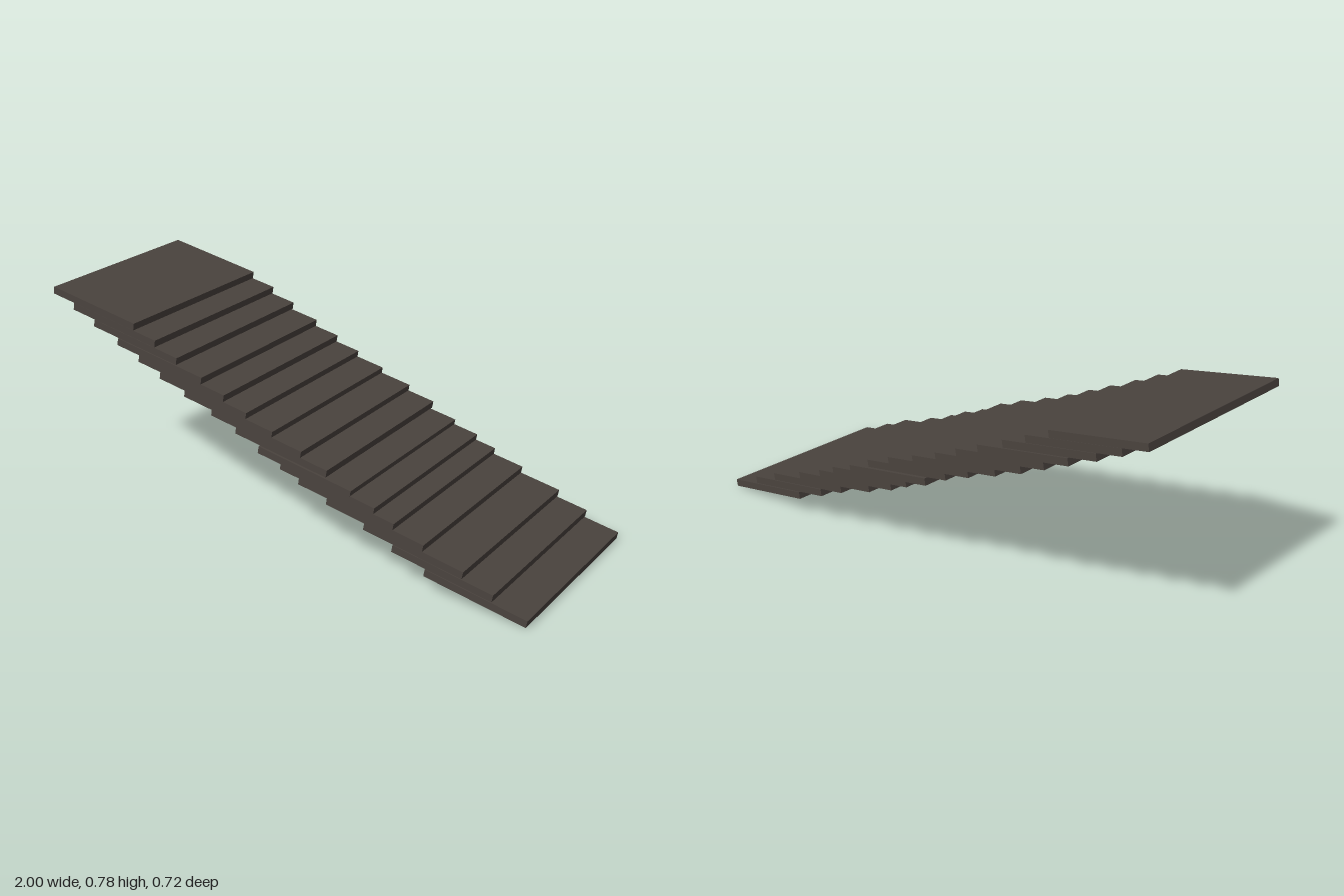
import * as THREE from 'three';

const LENGTH = 0.39, THICK = 0.027, WIDTH = 0.72, TILT = -Math.PI / 18;

// Upper leading edge [x, y] of every slab, from the top of the stack down
const EDGES = [
  [-0.613, 0.713], [-0.517, 0.668], [-0.42, 0.622], [-0.31, 0.572],
  [-0.212, 0.528], [-0.115, 0.484], [-0.004, 0.44], [0.117, 0.396],
  [0.223, 0.353], [0.32, 0.302], [0.415, 0.265], [0.492, 0.228],
  [0.608, 0.183], [0.76, 0.13], [0.873, 0.08], [1.0, 0.027],
];

export function createModel() {
  const model = new THREE.Group();
  model.name = 'slidingSlabStack';

  const darkStone = new THREE.MeshStandardMaterial({ color: 0x4a433e });
  darkStone.name = 'darkStone';

  // One slab, with its origin on the upper leading edge
  const slab = new THREE.BoxGeometry(LENGTH, THICK, WIDTH);
  slab.translate(-LENGTH / 2, -THICK / 2, 0);

  // Tilted slabs fanned out into a long slope
  EDGES.forEach(([x, y], i) => {
    const mesh = new THREE.Mesh(slab, darkStone);
    mesh.name = `slab${i + 1}`;
    mesh.position.set(x, y, 0);
    mesh.rotation.z = TILT;
    model.add(mesh);
  });

  return model;
}
